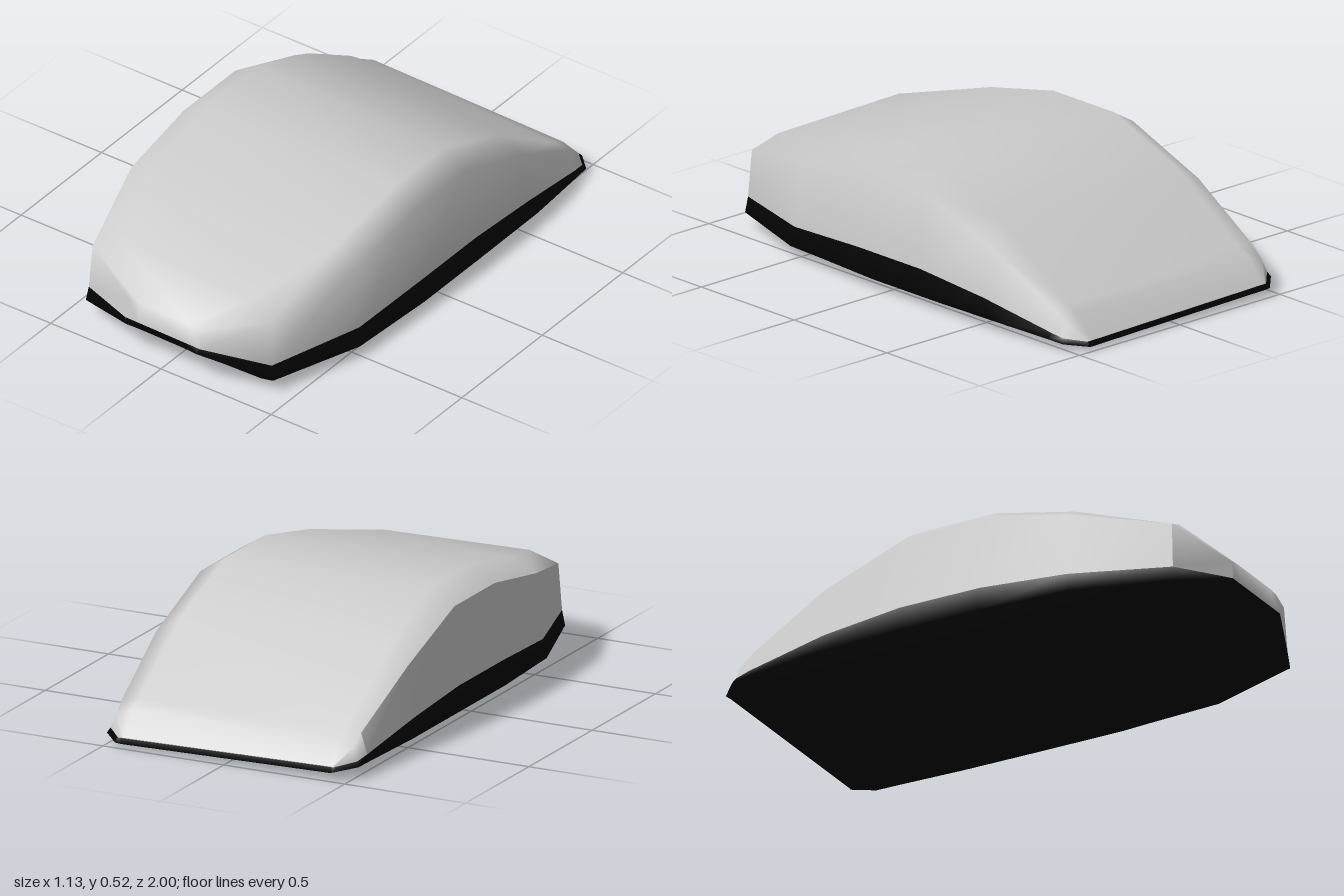
import * as THREE from 'three';

const TILT = 0.0175; // the whole body leans slightly sideways

// Half cross-sections from nose to tail, each point [x, y, z].
// seam: where shell meets base, rim: top of the side, deck: edge of the top
const sections = [
  { seam: [0.17, 0.155, 0.99], rim: [0.16, 0.23, 0.98], deck: [0.11, 0.235, 0.98], mid: [0.16, 0.135, 1.0], floor: [0.1, 0.125, 0.985] },
  { seam: [0.415, 0.125, 0.88], rim: [0.405, 0.305, 0.87], deck: [0.3, 0.352, 0.84], mid: [0.425, 0.065, 0.885], floor: [0.36, 0.04, 0.87] },
  { seam: [0.535, 0.135, 0.5], rim: [0.515, 0.39, 0.48], deck: [0.42, 0.442, 0.47], mid: [0.545, 0.06, 0.51], floor: [0.46, 0.013, 0.51] },
  { seam: [0.555, 0.155, 0.14], rim: [0.525, 0.45, 0.14], deck: [0.425, 0.511, 0.14], mid: [0.565, 0.06, 0.14], floor: [0.48, 0.01, 0.14] },
  { seam: [0.555, 0.155, -0.2], rim: [0.525, 0.45, -0.18], deck: [0.425, 0.511, -0.18], mid: [0.565, 0.06, -0.2], floor: [0.48, 0.01, -0.2] },
  { seam: [0.545, 0.125, -0.53], rim: [0.52, 0.32, -0.54], deck: [0.43, 0.384, -0.51], mid: [0.558, 0.055, -0.58], floor: [0.475, 0.012, -0.58] },
  { seam: [0.52, 0.07, -0.86], rim: [0.495, 0.15, -0.86], deck: [0.43, 0.162, -0.85], mid: [0.53, 0.045, -0.86], floor: [0.46, 0.018, -0.86] },
  { seam: [0.51, 0.058, -0.92], rim: [0.49, 0.108, -0.915], deck: [0.43, 0.132, -0.91], mid: [0.52, 0.04, -0.93], floor: [0.45, 0.02, -0.93] },
  { seam: [0.445, 0.045, -0.985], rim: [0.44, 0.047, -0.985], deck: [0.42, 0.047, -0.985], mid: [0.45, 0.03, -1.0], floor: [0.43, 0.024, -0.99] },
];

const mirror = ([x, y, z]) => [-x, y, z];

// One row of points across the body, from -x to +x
const across = (section, names) => [
  ...names.map((n) => mirror(section[n])),
  ...[...names].reverse().map((n) => section[n]),
];

// Flatten a row onto the seam to close an end
const endCap = (row, [, y, z]) => row.map(([x]) => [x, y, z]);

// Skin between rows; keep(row, column) selects the quads
function skin(rows, keep = () => true) {
  const n = rows[0].length;
  const index = [];
  for (let r = 0; r < rows.length - 1; r++) {
    for (let c = 0; c < n - 1; c++) {
      if (!keep(r, c)) continue;
      const a = r * n + c;
      index.push(a, a + 1, a + n, a + 1, a + n + 1, a + n);
    }
  }
  const points = rows.flat().map(([x, y, z]) => [x, y - TILT * x, z]);
  const geometry = new THREE.BufferGeometry();
  geometry.setAttribute('position', new THREE.Float32BufferAttribute(points.flat(), 3));
  geometry.setIndex(index);
  geometry.computeVertexNormals();
  return geometry;
}

export function createModel() {
  const group = new THREE.Group();
  const grey = new THREE.MeshStandardMaterial({ color: 0xcccccc });
  const black = new THREE.MeshStandardMaterial({ color: 0x050505 });
  const add = (name, geometry, material) => {
    const mesh = new THREE.Mesh(geometry, material);
    mesh.name = name;
    group.add(mesh);
  };
  const noseSeam = sections[0].seam;
  const tailSeam = sections[sections.length - 1].seam;

  // Smooth upper shell, with a hard-edged panel set into its right side
  const upper = sections.map((s) => across(s, ['seam', 'rim', 'deck']));
  upper.unshift(endCap(upper[0], noseSeam));
  const onPanel = (r, c) => c === 0 && r >= 2 && r <= 6;
  add('upperShell', skin(upper, (r, c) => !onPanel(r, c)), grey);
  add('rightSidePanel', skin(upper, onPanel), grey);

  // Dark base, closed at both ends
  const lower = sections.map((s) => across(s, ['seam', 'mid', 'floor']).reverse());
  lower.unshift(endCap(lower[0], noseSeam));
  lower.push(endCap(lower[lower.length - 1], tailSeam));
  add('base', skin(lower), black);

  return group;
}
